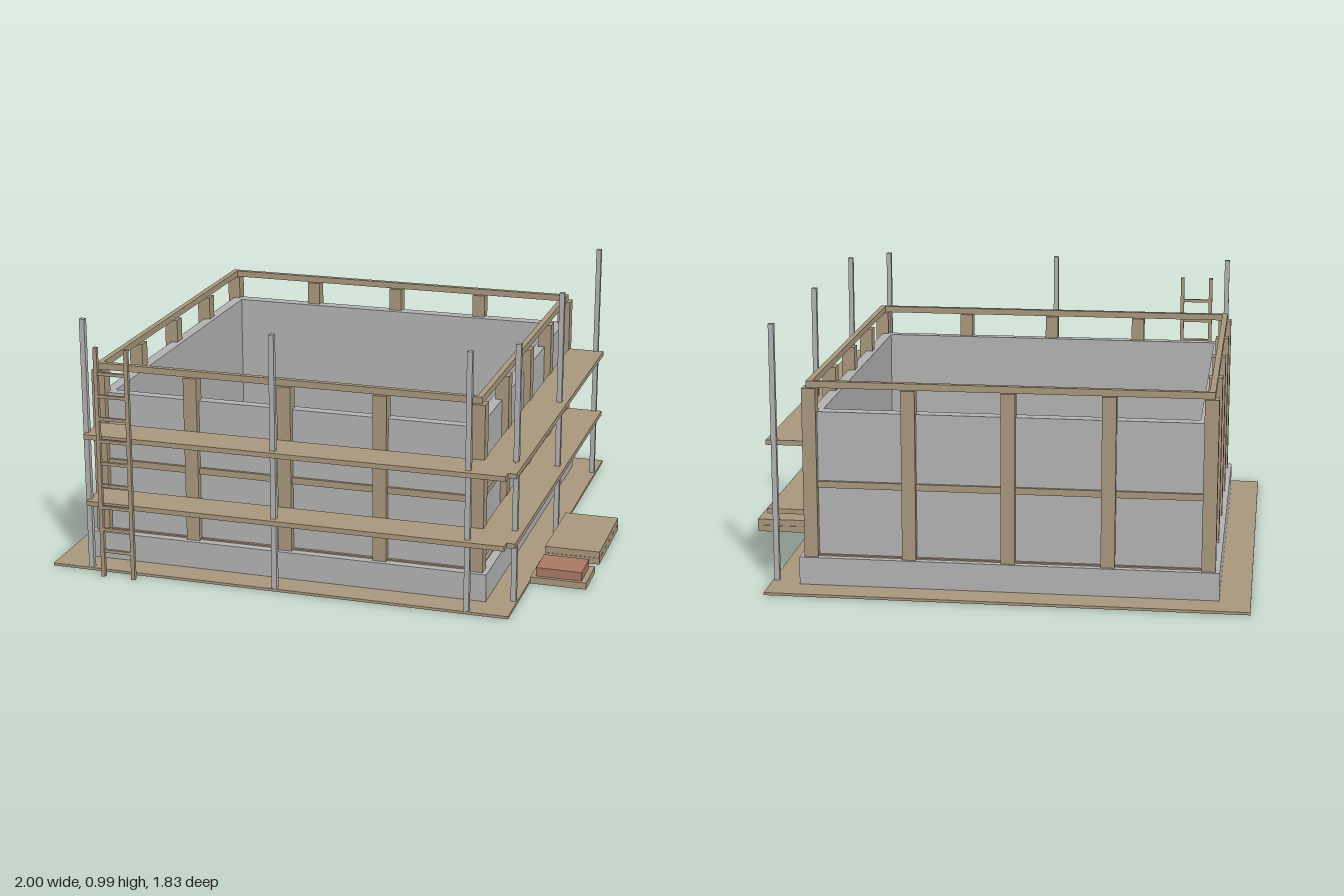
import * as THREE from 'three';

const timber = new THREE.MeshStandardMaterial({ color: 0xa8977c });
timber.name = 'timber';
const concrete = new THREE.MeshStandardMaterial({ color: 0xb2b2b2 });
concrete.name = 'concreteGrey';
const brick = new THREE.MeshStandardMaterial({ color: 0xa87866 });
brick.name = 'brickRed';

// Centre lines of the post grid
const X0 = -0.843, X1 = 0.631, Z0 = -0.765, Z1 = 0.711;

// Box given by its minimum and maximum on each axis
function box(parent, name, mat, x0, x1, y0, y1, z0, z1) {
  const mesh = new THREE.Mesh(new THREE.BoxGeometry(x1 - x0, y1 - y0, z1 - z0), mat);
  mesh.position.set((x0 + x1) / 2, (y0 + y1) / 2, (z0 + z1) / 2);
  mesh.name = name;
  parent.add(mesh);
}

function rectangle(PathType, x0, x1, z0, z1) {
  const p = new PathType();
  p.moveTo(x0, -z1);
  p.lineTo(x1, -z1);
  p.lineTo(x1, -z0);
  p.lineTo(x0, -z0);
  p.closePath();
  return p;
}

// Rectangular ring with vertical walls
function ring(parent, name, mat, outer, inner, y0, y1) {
  const shape = rectangle(THREE.Shape, ...outer);
  shape.holes.push(rectangle(THREE.Path, ...inner));
  const geo = new THREE.ExtrudeGeometry(shape, { depth: y1 - y0, bevelEnabled: false });
  geo.rotateX(-Math.PI / 2);
  geo.translate(0, y0, 0);
  const mesh = new THREE.Mesh(geo, mat);
  mesh.name = name;
  parent.add(mesh);
}

function subgroup(parent, name) {
  const g = new THREE.Group();
  g.name = name;
  parent.add(g);
  return g;
}

export function createModel() {
  const model = new THREE.Group();
  model.name = 'buildingSite';

  // Ground, footing, inner floor and walls
  const inside = [-0.8, 0.59, -0.715, 0.67];
  box(model, 'groundPlate', timber, -1, 0.785, 0, 0.01, -0.92, 0.865);
  ring(model, 'footing', concrete, [-0.885, 0.675, -0.803, 0.755], inside, 0.003, 0.115);
  box(model, 'innerFloor', timber, inside[0], inside[1], 0.008, 0.12, inside[2], inside[3]);
  ring(model, 'walls', concrete, [X0, X1, Z0, Z1], inside, 0.115, 0.665);

  // Formwork posts around the walls
  const formwork = subgroup(model, 'formwork');
  const h = 0.026;
  for (let i = 0; i < 5; i++) {
    for (let j = 0; j < 5; j++) {
      if (i % 4 && j % 4) continue;
      const x = X0 + (X1 - X0) * i / 4, z = Z0 + (Z1 - Z0) * j / 4;
      box(formwork, 'post', timber, x - h, x + h, 0.115, 0.757, z - h, z + h);
    }
  }

  // Bottom, middle and top rails
  const r = 0.011;
  const levels = [['bottomRail', 0.1, 0.12], ['middleRail', 0.378, 0.403], ['topRail', 0.757, 0.782]];
  for (const [name, y0, y1] of levels) {
    ring(formwork, name, timber, [X0 - r, X1 + r, Z0 - r, Z1 + r],
      [X0 + r, X1 - r, Z0 + r, Z1 - r], y0, y1);
  }

  // Scaffold decks and poles along the front and left sides
  const scaffold = subgroup(model, 'scaffold');
  for (const y of [0.268, 0.532]) {
    box(scaffold, 'frontDeck', timber, -0.843, 0.77, y, y + 0.019, 0.735, 0.887);
    box(scaffold, 'sideDeck', timber, 0.653, 0.802, y, y + 0.0188, -0.762, 0.85);
  }
  const poles = [[-0.843, 0.853], [-0.107, 0.853], [0.628, 0.853], [0.77, 0.712], [0.77, -0.024], [0.77, -0.76]];
  for (const [x, z] of poles) {
    box(scaffold, 'pole', concrete, x - 0.01, x + 0.01, 0.005, 0.99, z - 0.01, z + 0.01);
  }

  // Ladder
  const ladder = subgroup(model, 'ladder');
  for (const x of [-0.773, -0.652]) {
    box(ladder, 'ladderRail', timber, x - 0.0075, x + 0.0075, 0, 0.9, 0.898, 0.914);
  }
  for (let i = 0; i < 9; i++) {
    const y = 0.103 + i * 0.0872;
    box(ladder, 'rung', timber, -0.767, -0.658, y - 0.006, y + 0.006, 0.9, 0.912);
  }

  // Stacked boards and a pallet of bricks
  const supplies = subgroup(model, 'supplies');
  box(supplies, 'lowerBoards', timber, 0.787, 1, 0.002, 0.027, -0.128, 0.257);
  box(supplies, 'upperBoards', timber, 0.787, 1, 0.028, 0.053, -0.128, 0.257);
  box(supplies, 'pallet', timber, 0.787, 1, 0.002, 0.028, 0.345, 0.517);
  box(supplies, 'brickStack', brick, 0.806, 0.98, 0.028, 0.062, 0.362, 0.502);

  return model;
}
